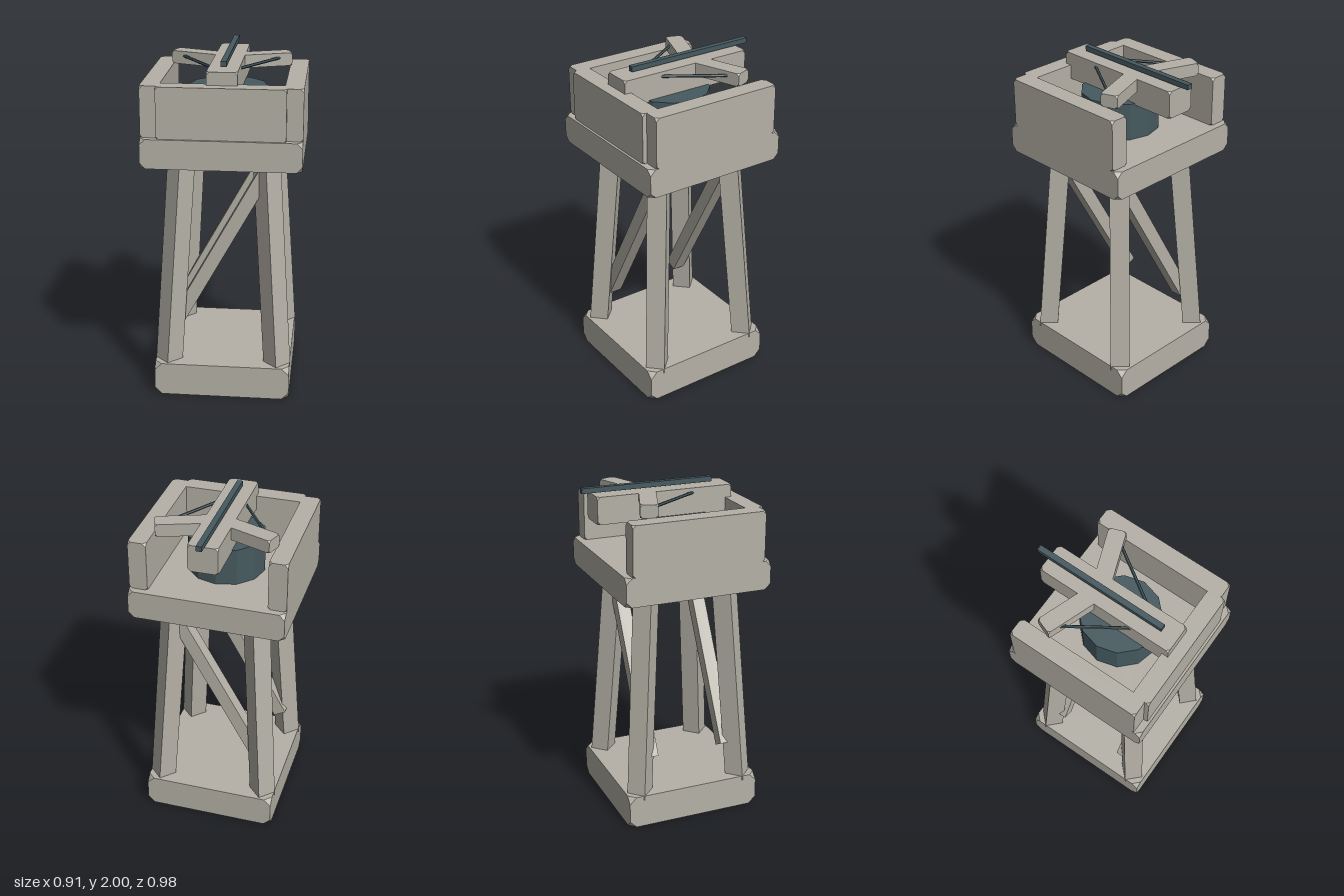
import * as THREE from 'three';
import { ConvexGeometry } from 'three/addons/geometries/ConvexGeometry.js';

const stone = new THREE.MeshStandardMaterial({ color: 0xb5b1a7, flatShading: true });
stone.name = 'warm grey';
const steel = new THREE.MeshStandardMaterial({ color: 0x465a60, flatShading: true });
steel.name = 'dark slate';

// Box whose eight corners are cut off by a small triangle.
function cutBox(w, h, d, cut) {
  const points = [];
  for (const sx of [-1, 1]) for (const sy of [-1, 1]) for (const sz of [-1, 1]) {
    const x = w / 2, y = h / 2, z = d / 2;
    points.push(
      new THREE.Vector3(sx * (x - cut), sy * y, sz * z),
      new THREE.Vector3(sx * x, sy * (y - cut), sz * z),
      new THREE.Vector3(sx * x, sy * y, sz * (z - cut)));
  }
  return new ConvexGeometry(points);
}

function add(parent, name, geometry, material, x = 0, y = 0, z = 0) {
  const mesh = new THREE.Mesh(geometry, material);
  mesh.name = name;
  mesh.position.set(x, y, z);
  parent.add(mesh);
  return mesh;
}

// Cut-corner block given by its limits on each axis.
function block(parent, name, [x0, x1], [y0, y1], [z0, z1], cut) {
  return add(parent, name, cutBox(x1 - x0, y1 - y0, z1 - z0, cut), stone,
    (x0 + x1) / 2, (y0 + y1) / 2, (z0 + z1) / 2);
}

// Prism running between two points.
function strut(parent, name, a, b, radius, sides, material) {
  const dir = b.clone().sub(a);
  const mesh = add(parent, name, new THREE.CylinderGeometry(radius, radius, dir.length(), sides), material);
  mesh.position.copy(a).add(b).multiplyScalar(0.5);
  mesh.quaternion.setFromUnitVectors(new THREE.Vector3(0, 1, 0), dir.normalize());
  return mesh;
}

export function createModel() {
  const model = new THREE.Group();
  model.name = 'watchtower';
  const midZ = 0.049;
  const v = (x, y, z) => new THREE.Vector3(x, y, z);

  // Foot slab and upper platform
  block(model, 'base', [-0.4, 0.4], [0, 0.2], [-0.367, 0.465], 0.042);
  block(model, 'platform', [-0.455, 0.455], [1.42, 1.59], [-0.395, 0.488], 0.033);

  // Leaning four-sided legs
  for (const sx of [-1, 1]) for (const sz of [-1, 1]) {
    strut(model, sz > 0 ? 'frontLeg' : 'backLeg',
      v(sx * 0.325, 0.17, midZ + sz * 0.325),
      v(sx * 0.244, 1.45, midZ + sz * 0.244), 0.08, 4, stone);
  }

  // Diagonal braces, both rising towards +x
  for (const sz of [-1, 1]) {
    const a = new THREE.Vector2(-0.297, 0.395), b = new THREE.Vector2(0.29, 1.455);
    const dir = b.clone().sub(a);
    const brace = add(model, sz > 0 ? 'frontBrace' : 'backBrace',
      new THREE.BoxGeometry(dir.length(), 0.08, 0.08), stone,
      (a.x + b.x) / 2, (a.y + b.y) / 2, midZ + sz * 0.245);
    brace.rotation.z = dir.angle();
  }

  // Parapet, open at the back
  block(model, 'frontWall', [-0.362, 0.362], [1.585, 1.885], [0.367, 0.474], 0.018);
  block(model, 'leftWall', [0.348, 0.455], [1.585, 1.885], [-0.355, 0.448], 0.02);
  block(model, 'rightWall', [-0.455, -0.348], [1.585, 1.885], [-0.355, 0.448], 0.02);

  // Crossbow: drum mount, stock, arms, string and bolt
  const bow = new THREE.Group();
  bow.name = 'crossbow';
  model.add(bow);
  const drum = add(bow, 'drum', new THREE.CylinderGeometry(0.228, 0.228, 0.23, 12), steel, 0, 1.695, 0.045);
  drum.rotation.y = 0;
  block(bow, 'stock', [-0.087, 0.087], [1.8, 1.96], [-0.422, 0.406], 0.018);
  for (const s of [-1, 1]) {
    const arm = add(bow, s > 0 ? 'leftArm' : 'rightArm', cutBox(0.364, 0.076, 0.1, 0.015), stone,
      s * 0.171, 1.922, -0.152);
    arm.rotation.y = s * THREE.MathUtils.degToRad(20);
    strut(bow, s > 0 ? 'leftString' : 'rightString',
      v(s * 0.05, 1.932, 0.207), v(s * 0.288, 1.932, -0.155), 0.009, 6, steel);
  }
  add(bow, 'bolt', new THREE.BoxGeometry(0.033, 0.03, 0.8), steel, 0, 1.985, -0.088);

  return model;
}
